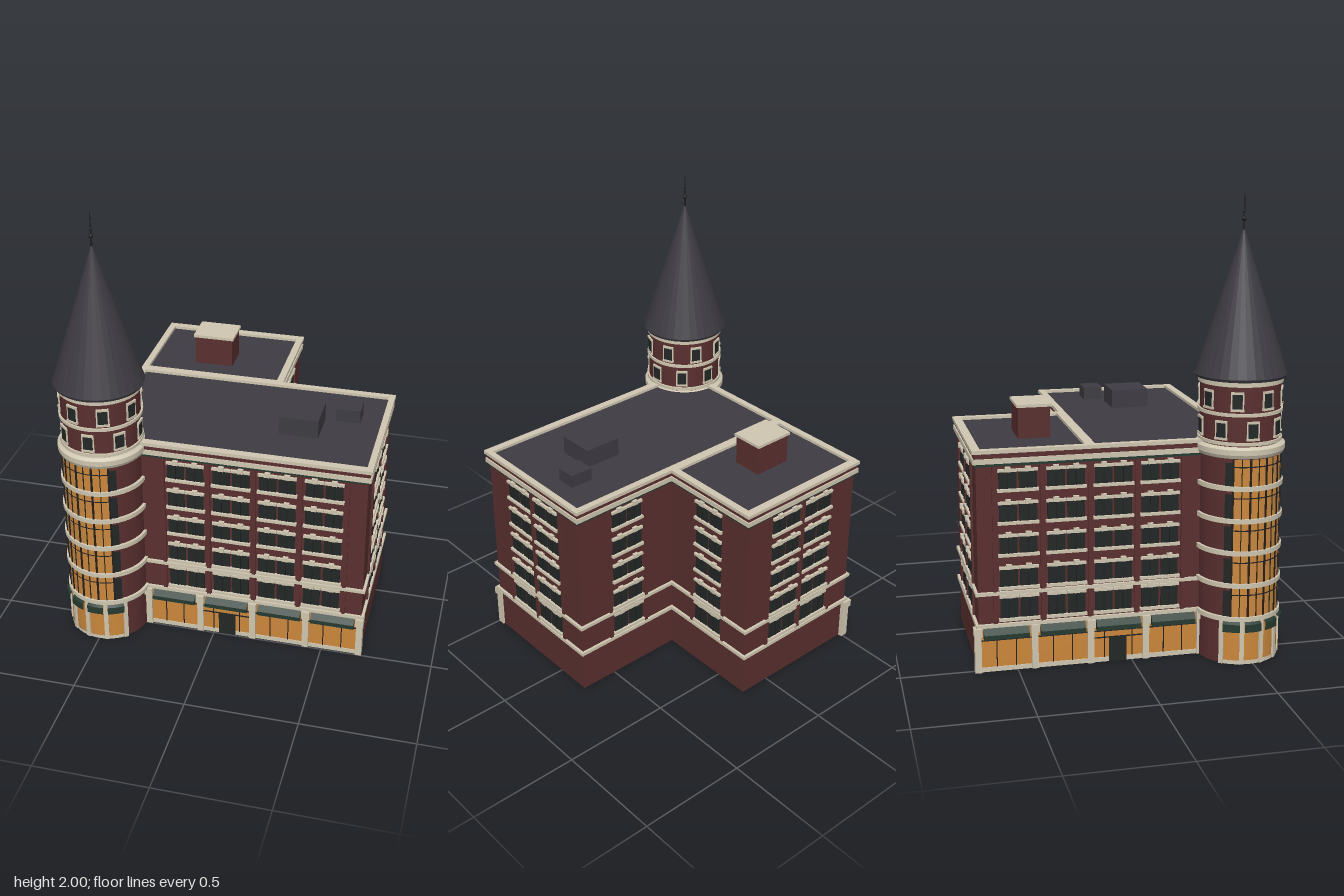
import * as THREE from 'three';

const mat = (name, color, opts = {}) => {
  const m = new THREE.MeshStandardMaterial({ color, ...opts });
  m.name = name;
  return m;
};
const RAD = Math.PI / 180;

export function createModel() {
  const root = new THREE.Group();
  root.name = 'cornerBuilding';
  const brick = mat('brick', 0x5a2f2f);
  const stone = mat('creamStone', 0xd0c7b1);
  const slate = mat('slate', 0x3e3c43, { flatShading: true });
  const amber = mat('litGlass', 0xcb873a);
  const green = mat('awningGreen', 0x263a31, { side: THREE.DoubleSide });
  const glass = mat('darkGlass', 0x222726);
  const iron = mat('iron', 0x202024);

  const add = (parent, name, geo, m, x = 0, y = 0, z = 0) => {
    const mesh = new THREE.Mesh(geo, m);
    mesh.name = name;
    mesh.position.set(x, y, z);
    parent.add(mesh);
    return mesh;
  };
  // Box given by its extents
  const box = (parent, name, m, x0, x1, y0, y1, z0, z1) =>
    add(parent, name, new THREE.BoxGeometry(x1 - x0, y1 - y0, z1 - z0), m,
      (x0 + x1) / 2, (y0 + y1) / 2, (z0 + z1) / 2);

  // L-shaped plan, grown outward by d, extruded from y0 to y1
  const plan = (name, m, d, y0, y1, holes = []) => {
    const pts = [[-0.51 - d, -0.665 - d], [0.145 + d, -0.665 - d], [0.145 + d, -0.17 - d],
      [0.675 + d, -0.17 - d], [0.675 + d, 0.485 + d], [-0.51 - d, 0.485 + d]];
    const shape = new THREE.Shape(pts.map(p => new THREE.Vector2(...p)));
    for (const [a, b, c, e] of holes)
      shape.holes.push(new THREE.Path([[a, c], [a, e], [b, e], [b, c]].map(p => new THREE.Vector2(...p))));
    const geo = new THREE.ExtrudeGeometry(shape, { depth: y1 - y0, bevelEnabled: false });
    geo.rotateX(Math.PI / 2);
    add(root, name, geo, m, 0, y1, 0);
  };

  // Walls, string courses, cornice and roof
  const wells = [[-0.497, 0.665, -0.157, 0.467], [-0.497, 0.13, -0.645, -0.2]];
  plan('walls', brick, 0, 0, 0.955);
  plan('groundCourse', stone, 0.012, 0.197, 0.213);
  plan('firstCourse', stone, 0.012, 0.34, 0.355);
  plan('frieze', green, 0.006, 0.9, 0.913);
  plan('lowerCornice', stone, 0.014, 0.913, 0.935);
  plan('parapetBrick', brick, 0.008, 0.935, 0.957);
  plan('coping', stone, 0.017, 0.957, 0.973, wells);
  for (const [a, b, c, e] of wells) box(root, 'roofDeck', slate, a, b, 0.954, 0.96, c, e);

  // Rooftop structures
  box(root, 'stairHouse', brick, -0.295, -0.115, 0.95, 1.1, -0.45, -0.31);
  box(root, 'stairHouseCap', stone, -0.302, -0.108, 1.097, 1.11, -0.457, -0.303);
  box(root, 'largeRoofUnit', slate, 0.24, 0.415, 0.95, 1.045, 0.09, 0.265);
  box(root, 'smallRoofUnit', slate, 0.463, 0.572, 0.95, 1.02, 0, 0.09);

  // Window rows: glass bottom and top
  const rows = [[0.235, 0.325], [0.375, 0.452], [0.52, 0.593], [0.66, 0.735], [0.802, 0.875]];

  // Paired windows on one wall; local x runs along it, local z points outward
  const facade = (name, x, z, rotY, centers) => {
    const g = new THREE.Group();
    g.name = name;
    g.position.set(x, 0, z);
    g.rotation.y = rotY;
    root.add(g);
    for (const c of centers) {
      for (const [b, t] of rows) {
        box(g, 'sill', stone, c - 0.088, c + 0.088, b - 0.013, b, -0.005, 0.014);
        for (const s of [-1, 1]) {
          const w = c + s * 0.043;
          box(g, 'windowGlass', glass, w - 0.038, w + 0.038, b, t, -0.002, 0.004);
          box(g, 'windowMullion', iron, w - 0.002, w + 0.002, b, t, 0, 0.007);
          box(g, 'lintel', stone, w - 0.042, w + 0.042, t, t + 0.012, -0.005, 0.012);
          box(g, 'keystone', stone, w - 0.012, w + 0.012, t, t + 0.021, -0.005, 0.015);
        }
      }
      for (const s of [-1, 1])
        box(g, 'pilaster', brick, c + s * 0.102 - 0.008, c + s * 0.102 + 0.008, 0.213, 0.9, -0.005, 0.009);
    }
    return g;
  };

  // Awning as a sloped prism running along local x
  const awning = (g, x0, x1) => {
    const s = new THREE.Shape([[0, 0.2], [0, 0.15], [0.03, 0.15], [0.03, 0.17]].map(p => new THREE.Vector2(...p)));
    const geo = new THREE.ExtrudeGeometry(s, { depth: x1 - x0, bevelEnabled: false });
    geo.rotateY(-Math.PI / 2);
    add(g, 'awning', geo, green, x1, 0, 0);
  };

  // Shop front of four bays; dir mirrors it along the wall
  const shopFront = (g, dir) => {
    const span = (name, m, a, b, ...r) => box(g, name, m, Math.min(a * dir, b * dir), Math.max(a * dir, b * dir), ...r);
    span('shopGlass', amber, -0.31, 0.67, 0.02, 0.197, -0.002, 0.004);
    span('shopPlinth', stone, -0.31, 0.67, 0, 0.02, -0.002, 0.008);
    span('transom', iron, -0.31, 0.67, 0.138, 0.143, 0, 0.007);
    for (let i = 0; i < 5; i++) {
      const p = -0.308 + i * 0.2445;
      span('pier', stone, p - 0.014, p + 0.014, 0, 0.2, -0.02, 0.016);
      span('pierCapital', stone, p - 0.018, p + 0.018, 0.165, 0.2, -0.02, 0.026);
      if (i === 4) continue;
      const a = (p + 0.025) * dir, b = (p + 0.22) * dir;
      awning(g, Math.min(a, b), Math.max(a, b));
      for (const k of i === 1 ? [0.25, 0.75] : [0.33, 0.67]) {
        const q = p + k * 0.2445;
        span('shopMullion', iron, q - 0.002, q + 0.002, 0.02, 0.15, 0, 0.007);
      }
    }
    span('doorHead', iron, -0.05, 0.165, 0.108, 0.113, 0, 0.007);
    span('door', glass, 0.022, 0.1, 0, 0.11, 0, 0.009);
  };

  const four = [-0.125, 0.08, 0.285, 0.49];
  shopFront(facade('frontFacade', 0, 0.485, 0, four), 1);
  shopFront(facade('leftStreetFacade', -0.51, 0, -Math.PI / 2, four.map(c => -c)), -1);
  facade('rightFacade', 0.675, 0, Math.PI / 2, [-0.255, -0.06]);
  facade('wingRightFacade', 0.145, 0, Math.PI / 2, [0.42]);
  facade('rearFacade', 0, -0.17, Math.PI, [-0.41]);
  facade('wingRearFacade', 0, -0.665, Math.PI, [0.085, 0.28]);

  // Round corner tower
  const tower = new THREE.Group();
  tower.name = 'cornerTower';
  tower.position.set(-0.5, 0, 0.48);
  root.add(tower);
  const drum = (name, m, r, y0, y1, r2 = r) =>
    add(tower, name, new THREE.CylinderGeometry(r2, r, y1 - y0, 40), m, 0, (y0 + y1) / 2, 0);
  // Curved panel between two angles in degrees, measured from the front
  const arc = (name, m, r, y0, y1, a0, a1, r2 = r) =>
    add(tower, name, new THREE.CylinderGeometry(r2, r, y1 - y0, Math.max(2, Math.round((a1 - a0) / 6)), 1, true,
      a0 * RAD, (a1 - a0) * RAD), m, 0, (y0 + y1) / 2, 0);
  // Upright block set at an angle on the tower face
  const post = (name, m, a, r, w, d, y0, y1) => {
    const p = add(tower, name, new THREE.BoxGeometry(w, y1 - y0, d), m,
      Math.sin(a * RAD) * r, (y0 + y1) / 2, Math.cos(a * RAD) * r);
    p.rotation.y = a * RAD;
  };

  drum('towerWall', brick, 0.177, 0, 0.93);
  // Tower shop level
  arc('towerShopGlass', amber, 0.18, 0.015, 0.2, -128, 40);
  arc('towerPlinth', stone, 0.184, 0, 0.018, -128, 40);
  for (let i = 0; i < 7; i++) {
    const a = -128 + i * 28;
    post('towerPier', stone, a, 0.178, 0.02, 0.02, 0, 0.2);
    if (i === 6) continue;
    arc('towerAwningSlope', green, 0.2, 0.185, 0.2, a + 3, a + 25, 0.183);
    arc('towerAwningSkirt', green, 0.2, 0.15, 0.185, a + 3, a + 25);
  }
  // Tower floors: lit windows toward the corner, dark slots at both ends
  const floors = [0.205, 0.355, 0.5, 0.642, 0.784, 0.92];
  floors.slice(0, 5).forEach((y, f) => {
    const y0 = y + 0.01, y1 = floors[f + 1] - 0.01;
    drum('towerCourse', stone, 0.19, y - 0.01, y + 0.01);
    arc('towerLitWindows', amber, 0.18, y0, y1, -116, 26);
    for (const a of [-122, 32]) arc('towerSlotWindow', glass, 0.18, y0, y1 - 0.015, a - 5, a + 5);
    for (let i = 0; i <= 12; i++) {
      const main = i % 2 === 0;
      post('towerMullion', main ? iron : glass, -116 + i * 142 / 12, 0.18, main ? 0.009 : 0.004, 0.006, y0, y1);
    }
    arc('towerTransom', iron, 0.1825, y1 - 0.035, y1 - 0.03, -116, 26);
  });
  drum('towerCornice', stone, 0.188, 0.915, 0.93, 0.195);
  drum('towerCorniceBand', stone, 0.195, 0.93, 0.953);
  drum('towerCorniceTop', stone, 0.195, 0.953, 0.963, 0.182);

  // Upper drum with two staggered rows of small windows
  drum('upperDrum', brick, 0.174, 0.96, 1.235);
  for (const [y0, y1] of [[0.968, 0.982], [1.092, 1.106], [1.218, 1.24]])
    drum('upperCourse', stone, 0.182, y0, y1);
  for (const [y, off] of [[1.0, 0], [1.125, 22.5]])
    for (let i = 0; i < 8; i++) {
      const a = off + i * 45;
      post('upperWindow', glass, a, 0.174, 0.042, 0.009, y, y + 0.062);
      post('upperSill', stone, a, 0.174, 0.058, 0.016, y - 0.01, y);
      post('upperLintel', stone, a, 0.174, 0.054, 0.014, y + 0.062, y + 0.072);
      for (const s of [-1, 1]) post('upperJamb', stone, a + s * 8, 0.175, 0.006, 0.009, y, y + 0.062);
    }

  // Conical roof and finial
  add(tower, 'coneEave', new THREE.CylinderGeometry(0.198, 0.192, 0.012, 32), slate, 0, 1.245, 0);
  add(tower, 'coneRoof', new THREE.ConeGeometry(0.197, 0.62, 32), slate, 0, 1.56, 0);
  add(tower, 'finialRod', new THREE.CylinderGeometry(0.002, 0.005, 0.15, 8), iron, 0, 1.925, 0);
  for (const [y, r] of [[1.9, 0.01], [1.93, 0.006]])
    add(tower, 'finialBall', new THREE.SphereGeometry(r, 10, 8), iron, 0, y, 0);

  return root;
}
